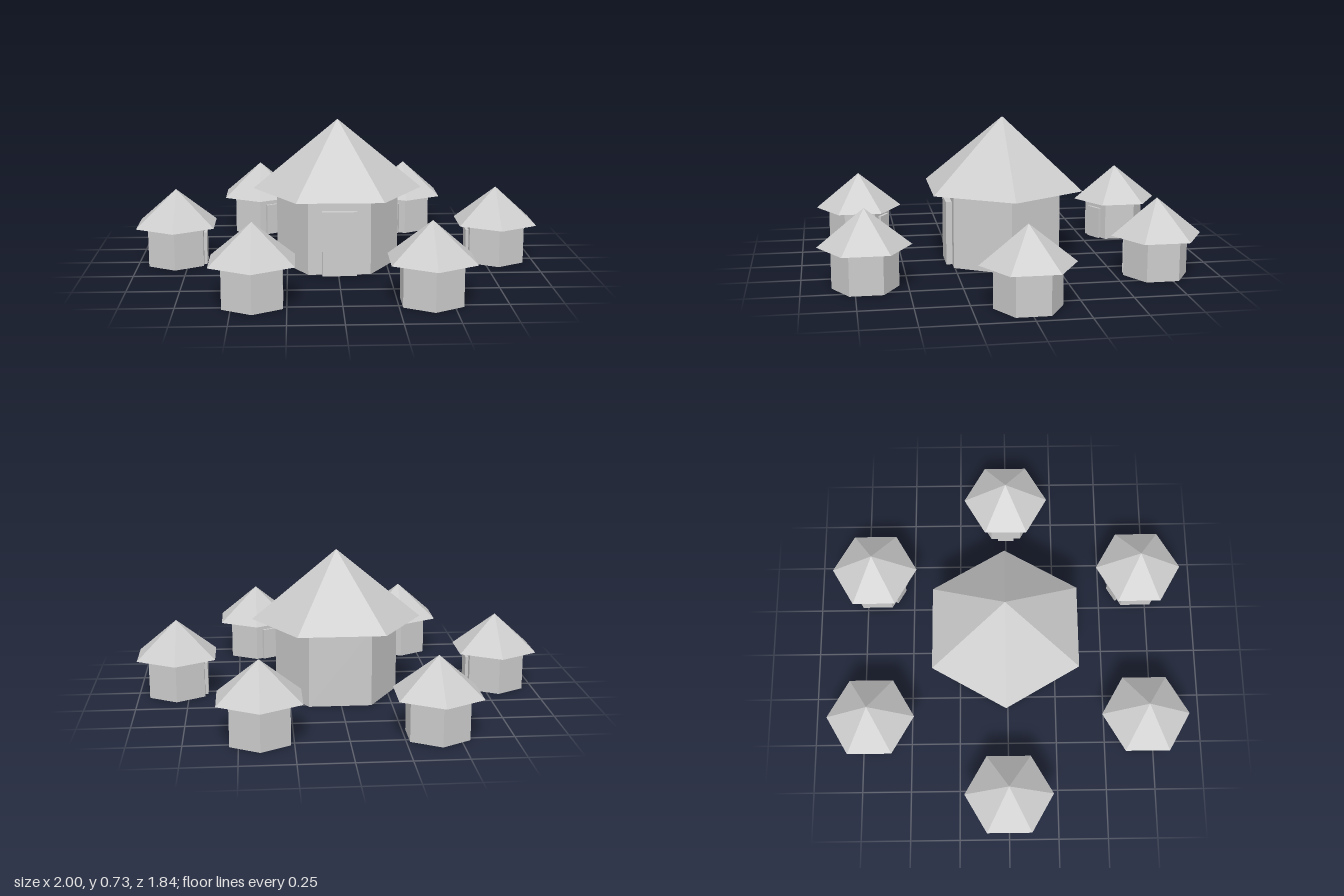
import * as THREE from 'three';

const material = new THREE.MeshStandardMaterial({ color: 0xcccccc, flatShading: true });

function addPart(parent, name, geometry, x, y, z) {
  const mesh = new THREE.Mesh(geometry, material);
  mesh.name = name;
  mesh.position.set(x, y, z);
  parent.add(mesh);
}

// Hexagonal hut with a flat wall, and its door, facing +z
function createHut({ name, wallRadius, wallHeight, roofRadius, roofHeight, door }) {
  const hut = new THREE.Group();
  hut.name = name;
  const turn = Math.PI / 6;

  addPart(hut, 'walls',
    new THREE.CylinderGeometry(wallRadius, wallRadius, wallHeight, 6, 1, false, turn),
    0, wallHeight / 2, 0);
  addPart(hut, 'roof',
    new THREE.ConeGeometry(roofRadius, roofHeight, 6, 1, false, turn),
    0, wallHeight + roofHeight / 2, 0);

  // Door slab, half sunk into the front wall
  const wallFace = wallRadius * Math.cos(turn);
  addPart(hut, 'door',
    new THREE.BoxGeometry(door.width, door.height, door.depth * 2),
    0, door.height / 2, wallFace);
  return hut;
}

export function createModel() {
  const village = new THREE.Group();
  village.name = 'village';

  // Large central hut
  const mainHut = createHut({
    name: 'mainHut', wallRadius: 0.306, wallHeight: 0.38,
    roofRadius: 0.423, roofHeight: 0.35,
    door: { width: 0.17, height: 0.32, depth: 0.03 },
  });
  mainHut.position.set(0.005, 0, -0.01);
  village.add(mainHut);

  // Ring of six small huts, each with its door towards the centre
  const ringRadius = 0.807;
  for (let i = 0; i < 6; i++) {
    const angle = Math.PI / 6 + i * Math.PI / 3;
    const hut = createHut({
      name: `smallHut${i + 1}`, wallRadius: 0.158, wallHeight: 0.2,
      roofRadius: 0.222, roofHeight: 0.18,
      door: { width: 0.085, height: 0.165, depth: 0.015 },
    });
    hut.position.set(Math.sin(angle) * ringRadius, 0, Math.cos(angle) * ringRadius);
    hut.rotation.y = angle + Math.PI;
    village.add(hut);
  }
  return village;
}
